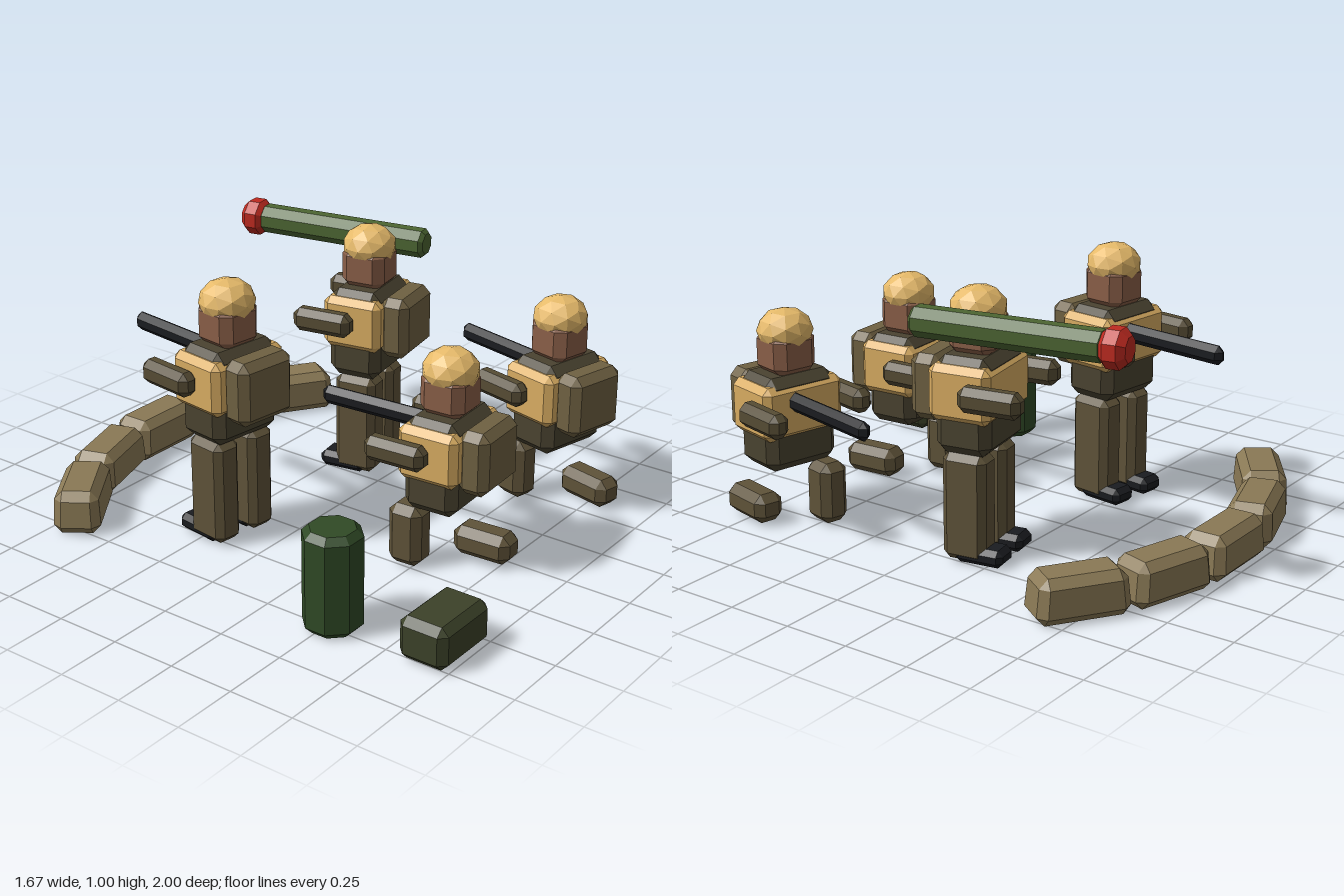
import * as THREE from 'three';
import { ConvexGeometry } from 'three/addons/geometries/ConvexGeometry.js';

const mat = (color) => new THREE.MeshStandardMaterial({ color, flatShading: true, roughness: 0.9 });
const MAT = {
  body: mat(0x4a4330), vest: mat(0xd9ad62), hat: mat(0xe6ba6a), skin: mat(0x8a5f48),
  cloth: mat(0x5f5339), pack: mat(0x6f6142), arm: mat(0x564c34), black: mat(0x1a1c20),
  tube: mat(0x4c6532), red: mat(0xbf2a20), barrel: mat(0x304a26), crate: mat(0x3c4229), bag: mat(0x8a7955),
};

function add(parent, name, geometry, material, x, y, z) {
  const mesh = new THREE.Mesh(geometry, material);
  mesh.name = name;
  mesh.position.set(x, y, z);
  parent.add(mesh);
  return mesh;
}

// Box with cut edges; taper narrows the top
function chamferBox(w, h, d, c, taper = 1) {
  const pts = [];
  for (const sx of [-1, 1]) for (const sy of [-1, 1]) for (const sz of [-1, 1]) {
    for (let full = 0; full < 3; full++) {
      const y = sy * (h / 2 - (full === 1 ? 0 : c));
      const k = 1 + (taper - 1) * (y / h + 0.5);
      pts.push(new THREE.Vector3(
        sx * (w / 2 - (full === 0 ? 0 : c)) * k, y, sz * (d / 2 - (full === 2 ? 0 : c)) * k));
    }
  }
  return new ConvexGeometry(pts);
}

// Eight-sided cylinder with cut rims, standing on its centre
function chamferCylinder(r, h, c) {
  const profile = [[0, -h / 2], [r - c, -h / 2], [r, c - h / 2], [r, h / 2 - c], [r - c, h / 2], [0, h / 2]];
  return new THREE.LatheGeometry(profile.map(([x, y]) => new THREE.Vector2(x, y)), 8).rotateY(Math.PI / 8);
}

// Soldier facing -z
function soldier({ x, z, yaw, kneeling, launcher }) {
  const g = new THREE.Group();
  g.name = kneeling ? 'kneelingSoldier' : 'standingSoldier';
  g.position.set(x, 0, z);
  g.rotation.y = yaw;

  const upper = new THREE.Group();
  upper.name = 'upperBody';
  upper.position.y = kneeling ? -0.17 : 0;
  g.add(upper);
  add(upper, 'torso', chamferBox(0.3, 0.355, 0.215, 0.035), MAT.body, 0, 0.587, 0);
  add(upper, 'vest', chamferBox(0.34, 0.205, 0.24, 0.025), MAT.vest, 0, 0.637, 0);
  add(upper, 'backpack', chamferBox(0.25, 0.24, 0.12, 0.03), MAT.pack, 0, 0.63, 0.155);
  add(upper, 'head', chamferBox(0.178, 0.17, 0.178, 0.035), MAT.skin, 0, 0.835, 0);
  const hat = add(upper, 'helmet', new THREE.IcosahedronGeometry(0.104, 1), MAT.hat, 0, 0.912, 0);
  hat.scale.y = 0.81;
  add(upper, 'rightArm', chamferBox(0.08, 0.092, 0.24, 0.025), MAT.arm, -0.195, 0.647, -0.1);
  add(upper, 'leftArm', chamferBox(0.08, 0.092, 0.24, 0.025), MAT.arm, 0.2, 0.647, -0.145);

  if (launcher) {
    const tube = add(upper, 'launcherTube', chamferCylinder(0.058, 0.72, 0.015), MAT.tube, 0.168, 0.89, -0.196);
    const tip = add(upper, 'warhead', chamferCylinder(0.073, 0.1, 0.026), MAT.red, 0.168, 0.89, -0.585);
    tube.rotation.x = tip.rotation.x = Math.PI / 2;
  } else {
    add(upper, 'rifle', chamferBox(0.05, 0.072, 0.5, 0.022), MAT.black, 0.045, 0.674, -0.31);
  }

  if (kneeling) {
    add(g, 'raisedLeg', chamferBox(0.115, 0.235, 0.135, 0.03), MAT.cloth, -0.095, 0.125, -0.1);
    add(g, 'foldedLeg', chamferBox(0.12, 0.112, 0.23, 0.03), MAT.cloth, 0.09, 0.063, 0.11);
  } else {
    for (const s of [-1, 1]) {
      add(g, 'leg', chamferBox(0.115, 0.4, 0.17, 0.025), MAT.cloth, s * 0.082, 0.21, 0);
      add(g, 'boot', chamferBox(0.11, 0.065, 0.19, 0.02), MAT.black, s * 0.082, 0.035, -0.055);
    }
  }
  return g;
}

export function createModel() {
  const model = new THREE.Group();
  model.name = 'soldierSquad';

  model.add(
    soldier({ x: -0.403, z: -0.195, yaw: -0.14 }),
    soldier({ x: 0.382, z: -0.143, yaw: 0.17, launcher: true }),
    soldier({ x: -0.115, z: 0.566, yaw: 0.06, kneeling: true }),
    soldier({ x: 0.55, z: 0.61, yaw: -0.24, kneeling: true }),
  );

  // Curved sandbag wall
  const bag = chamferBox(0.345, 0.165, 0.18, 0.032, 0.9);
  for (let i = -2; i <= 2; i++) {
    const a = i * 0.3;
    const mesh = add(model, 'sandbag', bag, MAT.bag, -0.02 + 1.12 * Math.sin(a), 0.083, 0.205 - 1.12 * Math.cos(a));
    mesh.rotation.y = -a;
  }

  // Supplies
  add(model, 'barrel', chamferCylinder(0.108, 0.38, 0.025), MAT.barrel, -0.735, 0.19, 0.52);
  add(model, 'crate', chamferBox(0.285, 0.16, 0.19, 0.028), MAT.crate, -0.64, 0.085, 0.905);
  return model;
}
